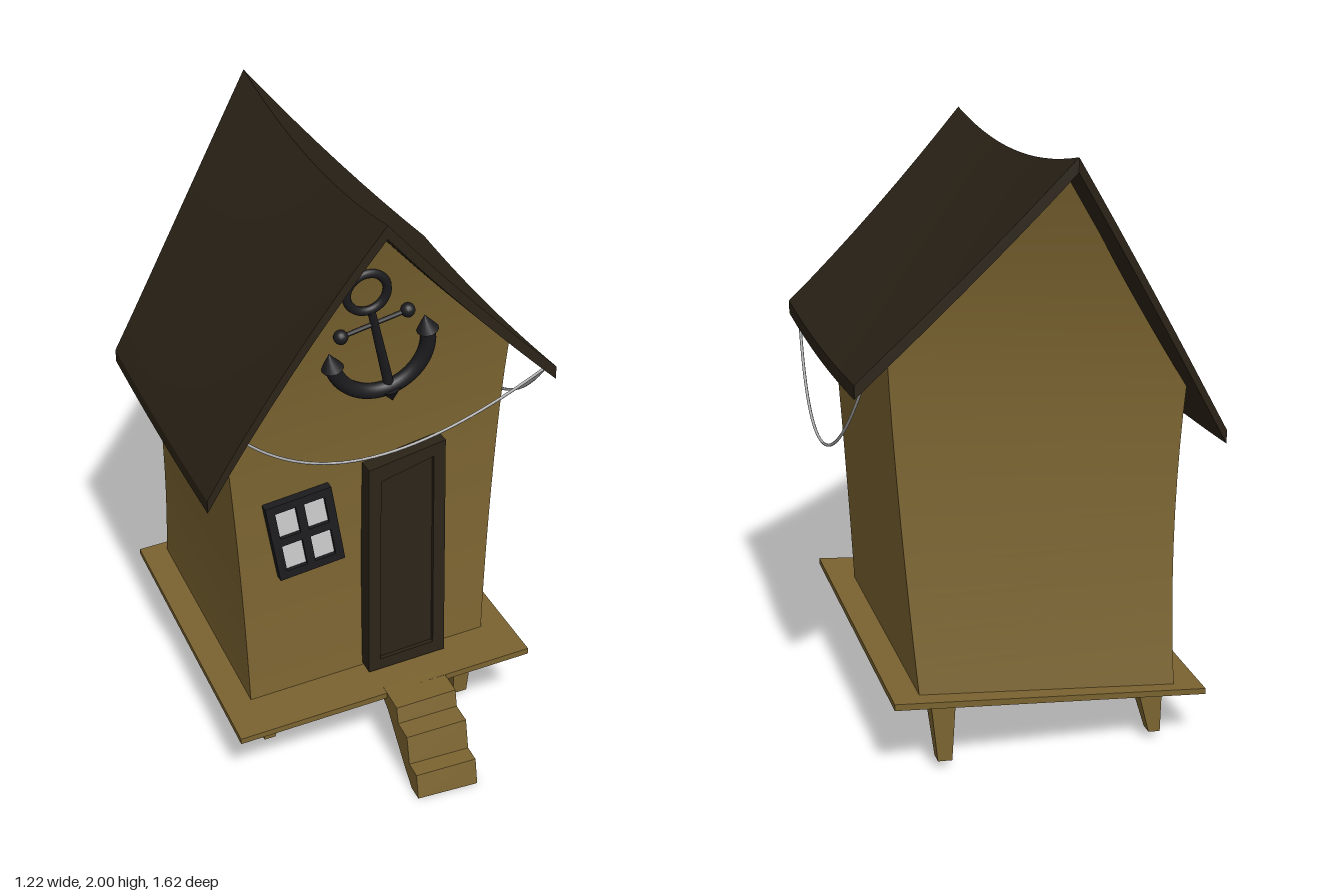
import * as THREE from 'three';
import { toCreasedNormals } from 'three/addons/utils/BufferGeometryUtils.js';

const mat = (color) => new THREE.MeshStandardMaterial({ color });
const wood = mat(0x7a6330), dark = mat(0x2b2317), iron = mat(0x1c1c1f);
const glass = mat(0xcccccc), cord = mat(0xb0b0b0);
const lerp = THREE.MathUtils.lerp;

// Joins equal-length rings of points into a closed solid with sharp edges.
function loft(rings) {
  const out = [], m = rings[0].length;
  const quad = (a, b, c, d) => out.push(...a, ...b, ...c, ...a, ...c, ...d);
  for (let k = 0; k < rings.length - 1; k++)
    for (let j = 0; j < m; j++) {
      const n = (j + 1) % m, a = rings[k], b = rings[k + 1];
      quad(a[j], a[n], b[n], b[j]);
    }
  const s = rings[0], e = rings[rings.length - 1];
  for (let i = 0; i < m / 2 - 1; i++) {
    quad(e[i], e[i + 1], e[m - 2 - i], e[m - 1 - i]);
    quad(s[m - 1 - i], s[m - 2 - i], s[i + 1], s[i]);
  }
  const g = new THREE.BufferGeometry();
  g.setAttribute('position', new THREE.Float32BufferAttribute(out, 3));
  return toCreasedNormals(g, 0.5);
}

function add(parent, name, geometry, material, x = 0, y = 0, z = 0) {
  const mesh = new THREE.Mesh(geometry, material);
  mesh.name = name;
  mesh.position.set(x, y, z);
  parent.add(mesh);
  return mesh;
}

// Bowed front and back wall surfaces
const wallFront = (y) => 0.3 + (y < 1.1 ? 0.065 : 0.17) * (y - 1.1) ** 2;
const wallBack = (y) => -0.555 - (y < 1.15 ? 0.1 : 0.24) * (y - 1.15) ** 2;

// Horizontal rings up the leaning walls, then closing in to the ridge
function wallsGeometry() {
  const rings = [], steps = 10, seg = 10;
  for (let k = 0; k <= 2 * steps; k++) {
    const low = Math.min(k / steps, 1), up = Math.max(k / steps - 1, 0);
    const side = (right) => {
      const x0 = right ? lerp(0.395, 0.468, low) : -0.465 - 0.045 * low ** 2;
      const y0 = right ? lerp(0.25, 1.385, low) : lerp(0.185, 1.2, low);
      const pts = [];
      for (let i = 0; i <= seg; i++) {
        const yz = lerp(y0, 1.93, up);
        const z = lerp(wallFront(yz), wallBack(yz), i / seg);
        pts.push([lerp(x0, right ? -0.049 : -0.051, up), lerp(y0, 1.885 + 0.144 * z * z, up), z]);
      }
      return pts;
    };
    rings.push([...side(true), ...side(false).reverse()]);
  }
  return loft(rings);
}

// Saddle-shaped roof, swept from one eave over the ridge to the other
function roofGeometry() {
  const rings = [], seg = 16, n = 8;
  for (let k = -n; k <= n; k++) {
    const t = Math.abs(k) / n, right = k > 0, flare = (1 - t) ** 1.4;
    const x = -0.05 + (right ? 0.64 : -0.56) * t;
    const top = [], bottom = [];
    for (let i = 0; i <= seg; i++) {
      const z = lerp(-0.66 - 0.15 * flare, 0.42 + 0.09 * flare, i / seg);
      const eave = right ? 1.3 + 0.07 * z * z : 1.06 + 0.04 * z * z;
      const bow = (right ? -0.012 : 0.025) * 4 * t * (1 - t);
      const y = lerp(1.91 + 0.144 * z * z, eave, t) + bow;
      top.push([x, y, z]);
      bottom.push([x, y - 0.045, z]);
    }
    rings.push([...top, ...bottom.reverse()]);
  }
  return loft(rings);
}

// Rectangle ring at two heights on the left and right sides
const rect = (x0, x1, z0, z1, yL, yR) => [[x0, yL, z1], [x1, yR, z1], [x1, yR, z0], [x0, yL, z0]];

function makeAnchor() {
  const g = new THREE.Group();
  g.name = 'anchor';
  const R = 0.165;
  add(g, 'anchorRing', new THREE.TorusGeometry(0.068, 0.0145, 10, 32), iron, 0, 0.223);
  add(g, 'anchorShank', new THREE.CylinderGeometry(0.013, 0.018, 0.32, 12), iron, 0, -0.005);
  add(g, 'anchorStock', new THREE.CylinderGeometry(0.008, 0.008, 0.23, 10), iron, 0, 0.098).rotation.z = Math.PI / 2;
  add(g, 'anchorArms', new THREE.TorusGeometry(R, 0.026, 10, 32, Math.PI), iron).rotation.z = Math.PI;
  add(g, 'anchorCrown', new THREE.ConeGeometry(0.04, 0.06, 12), iron, 0, -0.196).rotation.z = Math.PI;
  for (const s of [-1, 1]) {
    add(g, 'anchorKnob', new THREE.SphereGeometry(0.024, 14, 10), iron, s * 0.115, 0.098);
    add(g, 'anchorFluke', new THREE.ConeGeometry(0.037, 0.06, 12), iron, s * R, 0.025);
  }
  g.position.set(0, 1.455, wallFront(1.455) + 0.02);
  g.rotation.set(0.13, 0, 0.262);
  return g;
}

function makeWindow() {
  const g = new THREE.Group();
  g.name = 'window';
  const w = 0.232, h = 0.285, b = 0.029;
  const box = (P, x0, y0, x1, y1) => new P([[x0, y0], [x1, y0], [x1, y1], [x0, y1]].map((p) => new THREE.Vector2(...p)));
  const frame = box(THREE.Shape, -w / 2, -h / 2, w / 2, h / 2);
  for (const sx of [-1, 1]) for (const sy of [-1, 1]) {
    const xs = [sx * b / 2, sx * (w / 2 - b)], ys = [sy * b / 2, sy * (h / 2 - b)];
    frame.holes.push(box(THREE.Path, Math.min(...xs), Math.min(...ys), Math.max(...xs), Math.max(...ys)));
  }
  add(g, 'windowFrame', new THREE.ExtrudeGeometry(frame, { depth: 0.06, bevelEnabled: false }), iron, 0, 0, -0.03);
  add(g, 'windowGlass', new THREE.BoxGeometry(w - b, h - b, 0.03), glass);
  g.position.set(-0.255, 0.812, wallFront(0.812) + 0.005);
  g.rotation.set(-0.03, 0, 0.161);
  return g;
}

export function createModel() {
  const house = new THREE.Group();
  house.name = 'crookedHut';

  add(house, 'walls', wallsGeometry(), wood);
  add(house, 'roof', roofGeometry(), dark);

  // Tilted deck
  add(house, 'deck', loft([rect(-0.56, 0.49, -0.69, 0.53, 0.172, 0.26), rect(-0.56, 0.49, -0.69, 0.53, 0.192, 0.282)]), wood);

  // Tapered legs: [top x range, bottom x range, deck height]
  for (const [a, b, c, d, y] of [[-0.43, -0.345, -0.425, -0.385, 0.185], [0.275, 0.36, 0.29, 0.338, 0.25]])
    for (const [z0, z1, z2, z3] of [[0.285, 0.37, 0.32, 0.368], [-0.63, -0.545, -0.635, -0.59]])
      add(house, 'leg', loft([rect(c, d, z2, z3, 0.027, 0.03), rect(a, b, z0, z1, y, y + 0.006)]), wood);

  // Steps: side profile (z, y) extruded across and slightly skewed
  const profile = [[0.5, 0.247], [0.615, 0.243], [0.63, 0.187], [0.705, 0.184], [0.73, 0.087], [0.79, 0.085],
    [0.81, 0], [0.755, 0], [0.7, 0.04], [0.63, 0.1], [0.54, 0.18], [0.5, 0.2]];
  const steps = new THREE.ExtrudeGeometry(new THREE.Shape(profile.map((p) => new THREE.Vector2(...p))), { depth: 0.215, bevelEnabled: false });
  steps.rotateY(-Math.PI / 2).translate(0.177, 0, 0);
  const pos = steps.attributes.position;
  for (let i = 0; i < pos.count; i++) {
    const y = pos.getY(i);
    pos.setY(i, y + (pos.getX(i) - 0.07) * 0.08 * y / 0.25);
  }
  steps.computeVertexNormals();
  add(house, 'steps', steps, wood);

  // Crooked door with a recessed panel
  const doorZ = (y) => 0.41 - 0.0617 * (y - 0.26);
  const ring = (pts, dz) => pts.map(([x, y]) => [x, y, doorZ(y) + dz]);
  const outer = [[-0.055, 0.245], [0.225, 0.27], [0.23, 1.08], [-0.042, 1.02]];
  const inner = [[-0.012, 0.288], [0.183, 0.31], [0.188, 1.028], [0, 0.972]];
  add(house, 'door', loft([ring(outer, -0.12), ring(outer, 0), ring(inner, 0), ring(inner, -0.015)]), dark);

  house.add(makeWindow(), makeAnchor());

  // Ropes slung under the eaves
  const rope = (name, ...pts) => {
    const curve = new THREE.QuadraticBezierCurve3(...pts.map((p) => new THREE.Vector3(...p)));
    add(house, name, new THREE.TubeGeometry(curve, 32, 0.005, 6), cord);
  };
  rope('frontRope', [-0.48, 1.24, 0.39], [-0.1, 0.89, 0.36], [0.56, 1.3, 0.395]);
  rope('sideRope', [0.56, 1.3, 0.395], [0.645, 0.69, -0.19], [0.56, 1.3, -0.62]);

  return house;
}
